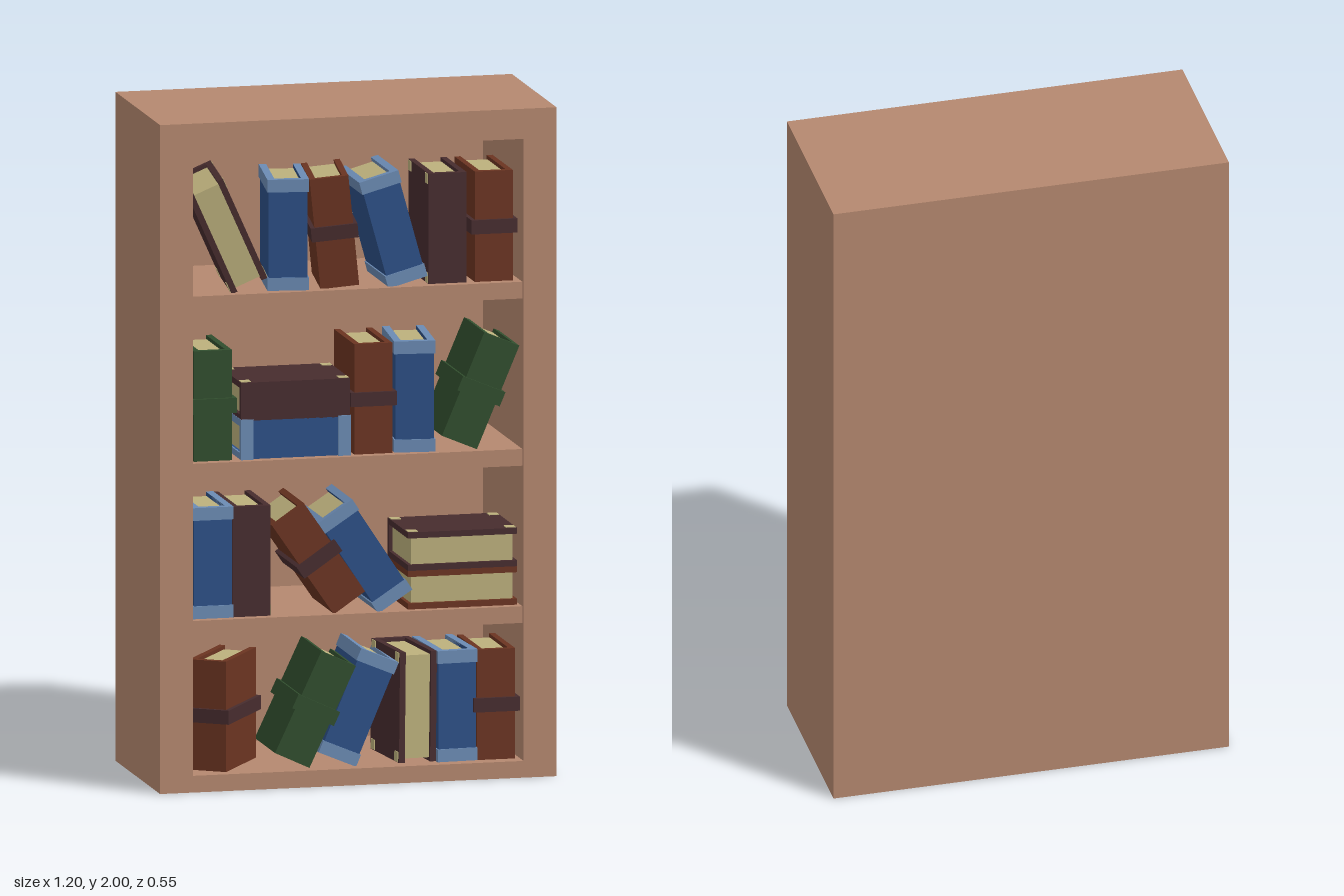
import * as THREE from 'three';

const colour = (name, color) => {
  const m = new THREE.MeshStandardMaterial({ color });
  m.name = name;
  return m;
};

export function createModel() {
  const wood = colour('wood', 0xb5886f);
  const blue = colour('blue cloth', 0x2c4f86);
  const paleBlue = colour('pale blue trim', 0x6b8bb4);
  const green = colour('green cloth', 0x304d2d);
  const brown = colour('brown leather', 0x6b3421);
  const maroon = colour('dark maroon', 0x472c2e);
  const cream = colour('cream paper', 0xbcb07c);

  const model = new THREE.Group();
  model.name = 'bookcase';

  function box(parent, name, mat, w, h, d, x, y, z) {
    const mesh = new THREE.Mesh(new THREE.BoxGeometry(w, h, d), mat);
    mesh.name = name;
    mesh.position.set(x, y, z);
    parent.add(mesh);
    return mesh;
  }

  // Case: one frame with a rectangular opening, plus back and shelves
  const outline = new THREE.Shape([[-0.6, 0], [0.6, 0], [0.6, 2], [-0.6, 2]]
    .map(([x, y]) => new THREE.Vector2(x, y)));
  outline.holes.push(new THREE.Path([[-0.5, 0.05], [-0.5, 1.91], [0.5, 1.91], [0.5, 0.05]]
    .map(([x, y]) => new THREE.Vector2(x, y))));
  const frame = new THREE.Mesh(
    new THREE.ExtrudeGeometry(outline, { depth: 0.55, bevelEnabled: false }), wood);
  frame.name = 'frame';
  frame.position.z = -0.275;
  model.add(frame);
  box(model, 'backPanel', wood, 1.2, 2, 0.05, 0, 1, -0.25);
  for (const y of [0.485, 0.955, 1.455]) {
    box(model, 'shelf', wood, 1, 0.05, 0.48, 0, y, 0.02);
  }

  // Books: spine faces local +z
  const H = 0.33, T = 0.115, D = 0.25, C = 0.018;

  // Two boards and a spine, of a given height
  function cover(book, name, mat, h, y, grow = 0) {
    for (const s of [-1, 1]) {
      box(book, name + 'Board', mat, C + grow, h, D, s * (T - C + grow) / 2, y, 0);
    }
    box(book, name + 'Spine', mat, T + grow * 2, h, C + grow, 0, y, (D - C + grow) / 2);
  }

  const kinds = {
    blue(book) {
      cover(book, 'cover', blue, H, 0);
      for (const s of [-1, 1]) cover(book, 'trim', paleBlue, 0.038, s * (H / 2 - 0.018), 0.004);
    },
    brown(book) {
      cover(book, 'cover', brown, H, 0);
      box(book, 'strap', maroon, T + 0.024, 0.042, D + 0.02, 0, 0, 0);
    },
    green(book) {
      cover(book, 'cover', green, H, 0);
      box(book, 'strap', green, T + 0.024, 0.045, D + 0.02, 0, 0, 0);
    },
    plain(book) {
      cover(book, 'cover', maroon, H, 0);
      corners(book);
    },
    brownPlain(book) {
      cover(book, 'cover', brown, H, 0);
      corners(book);
    },
  };

  // Small pale patches at the corners of both boards
  function corners(book) {
    for (const x of [-1, 1]) for (const y of [-1, 1]) for (const z of [-1, 1]) {
      box(book, 'cornerPatch', cream, 0.004, 0.03, 0.03,
        x * T / 2, y * (H / 2 - 0.017), z * (D / 2 - 0.022));
    }
  }

  // kind, centre x, centre y, lean about z, turn about y
  const flat = Math.PI / 2, flip = Math.PI;
  const books = [
    // top shelf
    ['plain', -0.375, 1.655, 0.42, flip - 0.1],
    ['blue', -0.185, 1.647, 0, -0.14],
    ['brown', -0.045, 1.65, 0.1, -0.14],
    ['blue', 0.115, 1.65, 0.27, 0],
    ['plain', 0.28, 1.646, 0, 0],
    ['brown', 0.42, 1.646, 0, 0],
    // third shelf
    ['green', -0.43, 1.146, 0, 0],
    ['blue', -0.18, 1.039, flat, 0],
    ['plain', -0.18, 1.153, flat, 0],
    ['brown', 0.055, 1.146, 0, 0],
    ['blue', 0.193, 1.147, 0, -0.1],
    ['green', 0.38, 1.155, -0.4, 0],
    // second shelf
    ['blue', -0.43, 0.677, 0, 0],
    ['plain', -0.313, 0.676, 0, 0],
    ['brown', -0.11, 0.675, 0.6, 0],
    ['blue', 0.03, 0.676, 0.58, 0],
    ['brownPlain', 0.325, 0.568, flat, flip],
    ['plain', 0.325, 0.683, flat, flip],
    // bottom shelf
    ['brown', -0.37, 0.216, 0, -0.6],
    ['green', -0.12, 0.224, -0.44, 0],
    ['blue', 0.01, 0.225, -0.4, 0],
    ['plain', 0.178, 0.218, -0.01, flip + 0.1],
    ['blue', 0.302, 0.217, 0, 0.06],
    ['brown', 0.427, 0.216, 0, 0],
  ];
  for (const [kind, x, y, lean, turn] of books) {
    const book = new THREE.Group();
    book.name = kind + 'Book';
    kinds[kind](book);
    box(book, 'pages', cream, T - 2 * C, H - 0.022, D - 0.02, 0, 0, 0);
    book.rotation.set(0, turn, lean, 'ZYX');
    book.position.set(x, y, 0.11);
    model.add(book);
  }

  return model;
}
